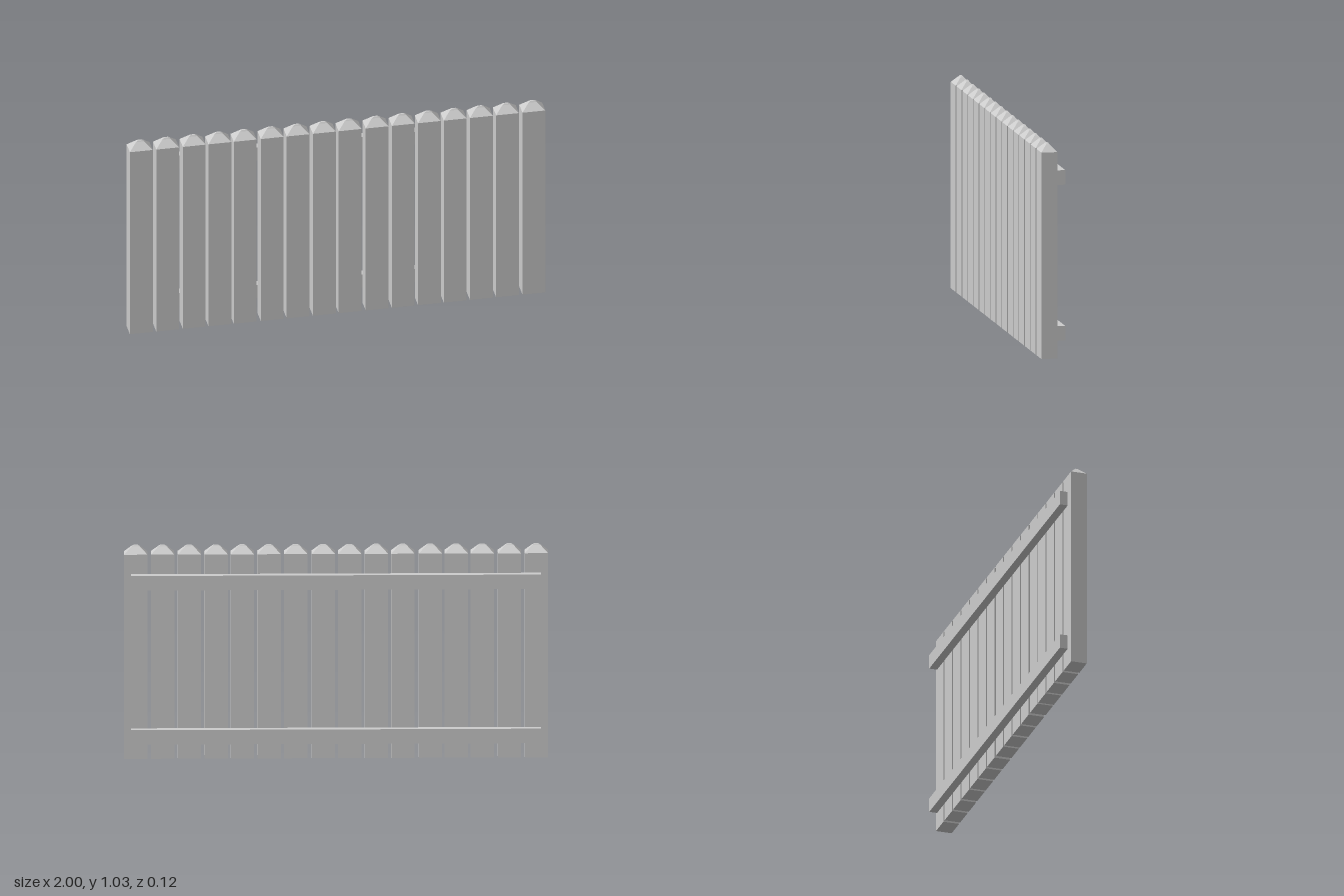
import * as THREE from 'three';

const material = new THREE.MeshStandardMaterial({ color: 0xcccccc, flatShading: true });

// Picket: a box whose upper rings shrink into a blunt pyramid cap
function picketGeometry() {
  // [height, half width, half depth] from bottom to top
  const rings = [[0, 0.055, 0.039], [0.988, 0.055, 0.039], [1.021, 0.02, 0.008], [1.027, 0.01, 0.004]];
  const geometry = new THREE.BoxGeometry(2, 3, 2, 1, 3, 1);
  const p = geometry.attributes.position;
  for (let i = 0; i < p.count; i++) {
    const [y, w, d] = rings[Math.round(p.getY(i) + 1.5)];
    p.setXYZ(i, Math.sign(p.getX(i)) * w, y, Math.sign(p.getZ(i)) * d);
  }
  const flat = geometry.toNonIndexed();
  flat.computeVertexNormals();
  return flat;
}

export function createModel() {
  const fence = new THREE.Group();
  fence.name = 'picketFence';

  // Row of pickets, slightly unevenly spaced
  const centres = [-0.945, -0.818, -0.69, -0.567, -0.445, -0.315, -0.19, -0.064,
    0.06, 0.19, 0.316, 0.442, 0.566, 0.692, 0.818, 0.945];
  const geometry = picketGeometry();
  centres.forEach((x, i) => {
    const picket = new THREE.Mesh(geometry, material);
    picket.name = `picket${i + 1}`;
    picket.position.set(x, 0, 0.023);
    fence.add(picket);
  });

  // Two horizontal rails behind the pickets
  const railGeometry = new THREE.BoxGeometry(1.934, 0.07, 0.039);
  for (const [name, y] of [['lowerRail', 0.114], ['upperRail', 0.86]]) {
    const rail = new THREE.Mesh(railGeometry, material);
    rail.name = name;
    rail.position.set(0.001, y, -0.041);
    fence.add(rail);
  }
  return fence;
}
